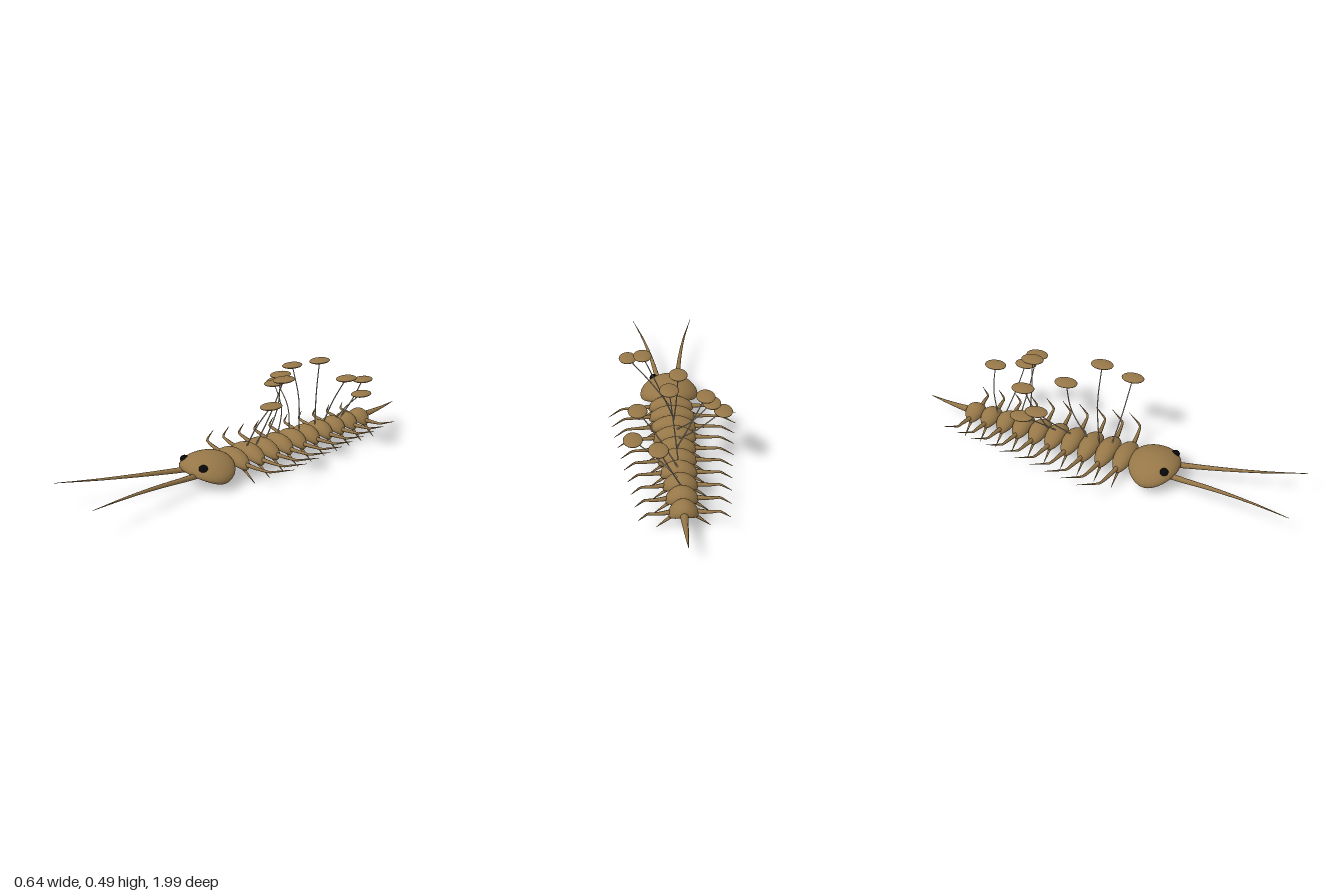
import * as THREE from 'three';

const material = (name, color) => {
  const m = new THREE.MeshStandardMaterial({ color });
  m.name = name;
  return m;
};

// Tube along points whose radius shrinks from r0 to r1
function taperedTube(points, r0, r1, segments = 16, sides = 8) {
  const curve = new THREE.CatmullRomCurve3(points.map(p => new THREE.Vector3(...p)), false, 'centripetal');
  const geo = new THREE.TubeGeometry(curve, segments, 1, sides, false);
  const pos = geo.attributes.position, v = new THREE.Vector3();
  for (let i = 0; i <= segments; i++) {
    const t = i / segments, centre = curve.getPointAt(t), r = r0 + (r1 - r0) * t;
    for (let j = 0; j <= sides; j++) {
      const k = i * (sides + 1) + j;
      v.fromBufferAttribute(pos, k).sub(centre).multiplyScalar(r).add(centre);
      pos.setXYZ(k, v.x, v.y, v.z);
    }
  }
  return geo;
}

// Arched shell: rounded top, flatter wide underside, sides drooping
function shell(rx, top, bottom, rz, droop) {
  const geo = new THREE.SphereGeometry(1, 32, 24);
  const pos = geo.attributes.position;
  for (let i = 0; i < pos.count; i++) {
    let x = pos.getX(i);
    const y = pos.getY(i), z = pos.getZ(i);
    const rho = Math.hypot(x, z);
    if (y < 0 && rho > 1e-4) x *= Math.pow(rho, -0.8);
    pos.setXYZ(i, x * rx, y * (y > 0 ? top : bottom) - droop * x * x, z * rz);
  }
  geo.computeVertexNormals();
  return geo;
}

export function createModel() {
  const model = new THREE.Group();
  model.name = 'centipede';
  const brown = material('shell brown', 0x967748);
  const grey = material('stalk grey', 0xc2b5a0);
  const black = material('eye black', 0x080808);
  const add = (name, geo, mat, x = 0, y = 0, z = 0) => {
    const mesh = new THREE.Mesh(geo, mat);
    mesh.name = name;
    mesh.position.set(x, y, z);
    model.add(mesh);
    return mesh;
  };

  add('head', shell(0.15, 0.06, 0.036, 0.125, 0.03), brown, 0, 0.09, 0.295);

  // Eyes and antennae
  for (const s of [1, -1]) {
    const side = s > 0 ? 'left' : 'right';
    add(side + 'Eye', new THREE.SphereGeometry(0.022, 10, 8), black, s * 0.076, 0.114, 0.371)
      .scale.set(1, 0.82, 1);
    add(side + 'Antenna', taperedTube([
      [s * 0.045, 0.073, 0.38], [s * 0.057, 0.081, 0.46], [s * 0.08, 0.1, 0.62],
      [s * 0.115, 0.12, 0.8], [s * 0.168, 0.142, 1],
    ], 0.015, 0.001, 24), brown);
  }

  // Body segments, each with a pair of bent legs and a pair of lower spikes
  const widths = [0.115, 0.117, 0.114, 0.106, 0.098, 0.092, 0.086, 0.08, 0.073, 0.065];
  widths.forEach((w, i) => {
    const z = 0.14 - i * 0.0955, k = 1 - i * 0.043, spread = 1 - i * 0.033;
    add('bodySegment' + i, shell(w, 0.043, 0.028, 0.051, 0.02), brown, 0, 0.088, z);
    for (const s of [1, -1]) {
      const side = s > 0 ? 'left' : 'right';
      add(side + 'Leg' + i, taperedTube([
        [s * w * 0.7, 0.077, z], [s * 0.18 * k, 0.079, z - 0.013],
        [s * 0.245 * k, 0.083, z - 0.027 * k], [s * 0.256 * k, 0.085, z - 0.036 * k],
        [s * 0.317 * k, 0.094, z - 0.118 * k],
      ], 0.013, 0.001, 20, 6), brown);
      add(side + 'Spike' + i, taperedTube([
        [s * 0.05 * spread, 0.068, z], [s * 0.166 * spread, 0.001, z - 0.004],
      ], 0.011, 0.001, 6, 6), brown);
    }
  });

  add('tail', taperedTube([
    [0, 0.085, -0.74], [0, 0.087, -0.82], [0, 0.095, -0.91], [0, 0.107, -0.992],
  ], 0.02, 0.001), brown);

  // Stalked discs on the back: cap x, y, z and the z of the stalk's foot
  const discs = [
    [0.213, 0.393, 0.08, 0.06], [0.145, 0.475, -0.055, -0.005], [-0.015, 0.434, -0.173, -0.06],
    [-0.163, 0.331, -0.26, -0.14], [-0.21, 0.321, -0.315, -0.225], [-0.125, 0.419, -0.348, -0.29],
    [0.04, 0.477, -0.383, -0.4], [0.18, 0.409, -0.435, -0.46], [0.205, 0.316, -0.52, -0.545],
    [0.1, 0.339, -0.638, -0.585],
  ];
  discs.forEach(([x, y, z, foot], i) => {
    add('stalk' + i, taperedTube([
      [0, 0.11, foot], [x * 0.47, 0.11 + (y - 0.11) * 0.5, foot + (z - foot) * 0.8], [x, y, z],
    ], 0.0034, 0.0026, 10, 6), grey);
    add('disc' + i, new THREE.SphereGeometry(1, 24, 12), brown, x, y, z)
      .scale.set(0.043, 0.0115, 0.058);
  });

  return model;
}
